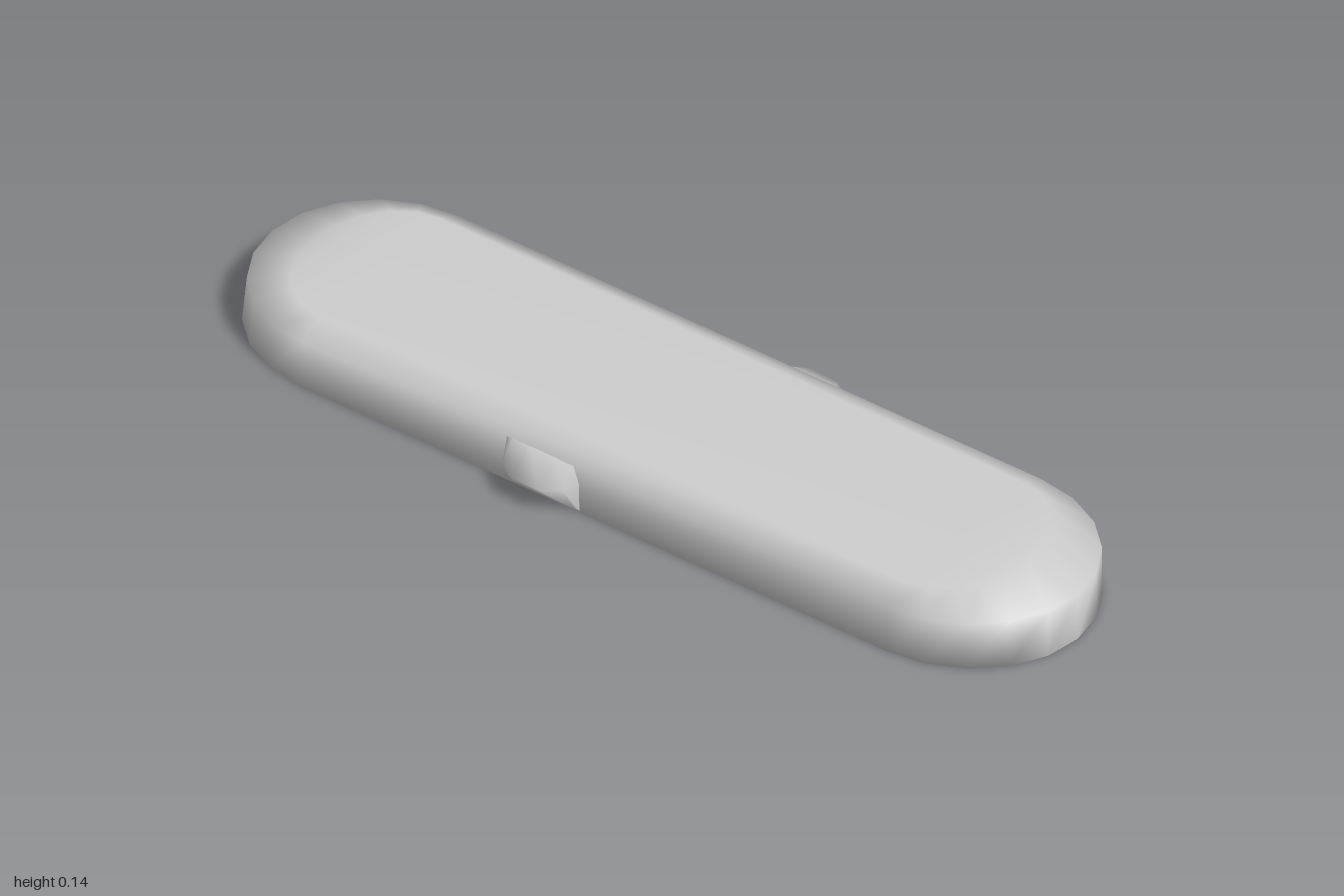
import * as THREE from 'three';

const material = new THREE.MeshStandardMaterial({ color: 0xcccccc });
const STRAIGHT = 0.72; // half length of the straight sides
const HALF_WIDTH = 0.258;

// Closed outline with straight sides and rounded ends
function outline(rx, rz, leftTrim = 0) {
  const points = [];
  const steps = 10;
  for (const side of [1, -1]) {
    for (let i = 0; i <= steps; i++) {
      const a = -Math.PI / 2 + (Math.PI * i) / steps;
      const x = side * (STRAIGHT + rx * Math.cos(a));
      points.push(new THREE.Vector2(x + (side < 0 ? leftTrim * Math.cos(a) : 0), side * rz * Math.sin(a)));
    }
  }
  return points;
}

function smoothMesh(name, positions, indices) {
  const geometry = new THREE.BufferGeometry();
  geometry.setAttribute('position', new THREE.Float32BufferAttribute(positions, 3));
  geometry.setIndex(indices);
  geometry.computeVertexNormals();
  const mesh = new THREE.Mesh(geometry, material);
  mesh.name = name;
  return mesh;
}

// Upright wall, bevelled shoulder, and flat top and bottom
function makeBody() {
  const rings = [
    { y: 0, points: outline(0.28, HALF_WIDTH) },
    { y: 0.11, points: outline(0.28, HALF_WIDTH, 0.015) },
    { y: 0.138, points: outline(0.16, 0.2) },
  ];
  const n = rings[0].points.length;
  const positions = [];
  const indices = [];
  for (const { y, points } of rings) for (const p of points) positions.push(p.x, y, p.y);
  for (let r = 0; r < rings.length - 1; r++) {
    for (let i = 0; i < n; i++) {
      const a = r * n + i;
      const b = r * n + ((i + 1) % n);
      indices.push(a, a + n, b, b, a + n, b + n);
    }
  }
  // Caps: quads across each end, joined by the long middle panel
  const half = n / 2;
  const top = (rings.length - 1) * n;
  const cap = (a, b, c) => {
    indices.push(a, b, c);
    indices.push(top + a, top + c, top + b);
  };
  for (const start of [0, half]) {
    for (let lo = start, hi = start + half - 1; lo < hi; lo++, hi--) {
      cap(lo, lo + 1, hi);
      if (lo + 1 < hi - 1) cap(lo + 1, hi - 1, hi);
    }
  }
  cap(0, half - 1, half);
  cap(0, half, n - 1);
  return smoothMesh('body', positions, indices);
}

// Rounded tab whose pointed ridge runs around a half octagon
function makeTab(name) {
  const positions = [];
  const indices = [];
  const plan = [[-0.09, -0.004], [-0.075, 0.035], [-0.035, 0.062], [0.035, 0.062], [0.075, 0.035], [0.09, -0.004]];
  for (const [x, out] of plan) {
    positions.push(x, 0, HALF_WIDTH - 0.002);
    positions.push(x, 0.067, HALF_WIDTH + out);
    positions.push(x, 0.11, HALF_WIDTH - 0.002);
  }
  for (let i = 0; i < plan.length - 1; i++) {
    for (let j = 0; j < 2; j++) {
      const a = i * 3 + j;
      indices.push(a, a + 3, a + 1, a + 1, a + 3, a + 4);
    }
  }
  return smoothMesh(name, positions, indices);
}

export function createModel() {
  const model = new THREE.Group();
  model.name = 'foldedHandle';
  model.add(makeBody());

  const frontTab = makeTab('frontTab');
  frontTab.position.x = -0.125;
  const backTab = makeTab('backTab');
  backTab.position.x = 0.135;
  backTab.rotation.y = Math.PI;
  model.add(frontTab, backTab);
  return model;
}
